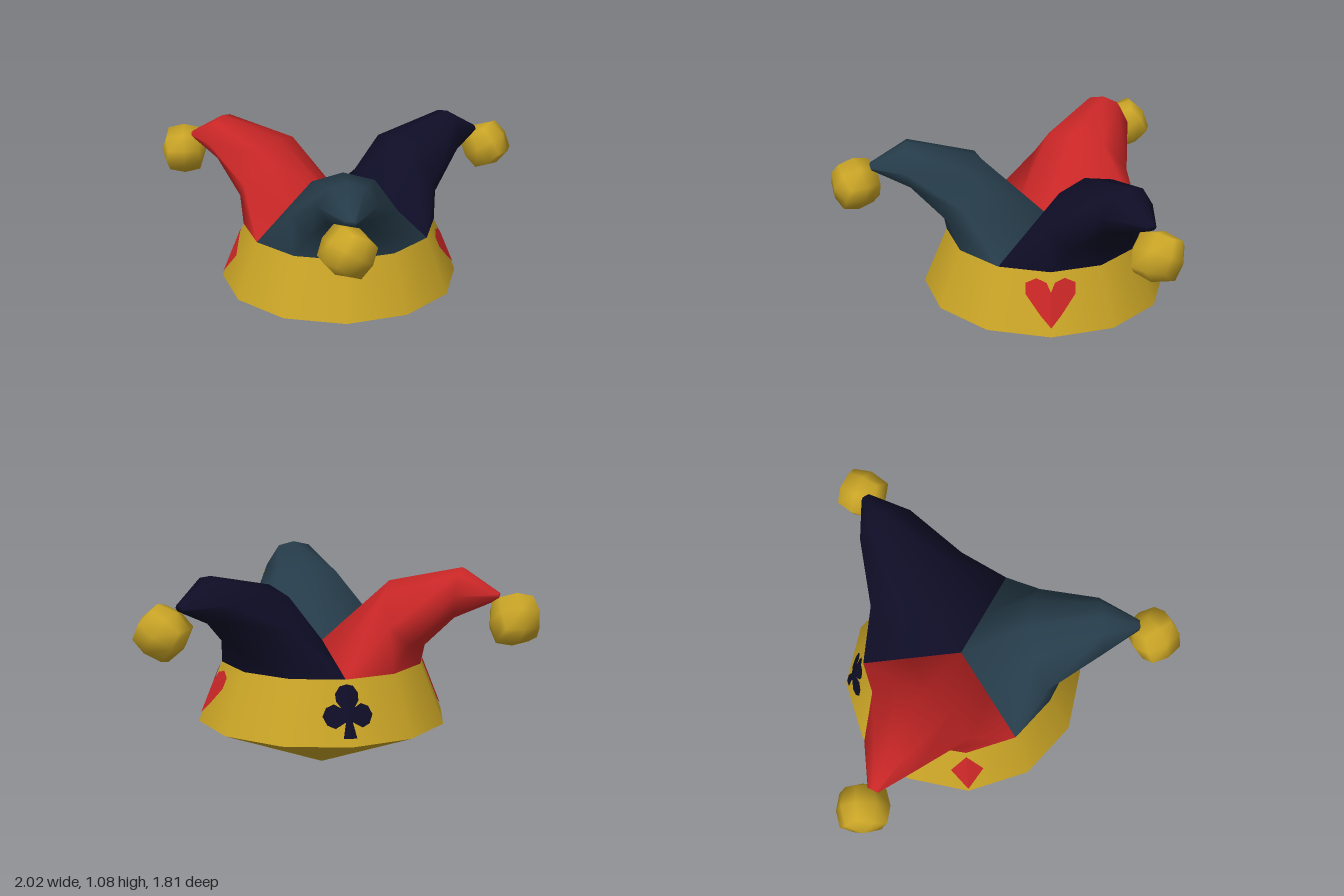
import * as THREE from 'three';
import { mergeVertices } from 'three/addons/utils/BufferGeometryUtils.js';

const mat = (name, color) => Object.assign(new THREE.MeshStandardMaterial({ color }), { name });

const SIDES = 12, Y0 = 0.26, Y1 = 0.57, R0 = 0.655, R1 = 0.53;

function mesh(name, geometry, material) {
  const m = new THREE.Mesh(geometry, material);
  m.name = name;
  return m;
}

// Full 8-point ring from a half section: bottom, lower side, side, upper side, top
function ring([b, l, s, u, t]) {
  const flip = ([x, y, z]) => [-x, y, z];
  return [flip(s), flip(l), b, l, s, u, t, flip(u)];
}

// One curled hat point, leaning towards +z, lofted from a 120 degree base sector to its tip
function hornGeometry() {
  const rim = (deg, r, y) => {
    const a = THREE.MathUtils.degToRad(deg);
    return [r * Math.sin(a), y, r * Math.cos(a)];
  };
  const rings = [
    [rim(0, R1, Y1), rim(30, R1, Y1), rim(60, R1, Y1), rim(60, R1 / 2, 0.615), [0, 0.66, 0]],
    [[0, 0.67, 0.55], [0.19, 0.70, 0.52], [0.285, 0.80, 0.435], [0.165, 0.955, 0.375], [0, 0.995, 0.36]],
    [[0, 0.82, 0.70], [0.1, 0.86, 0.715], [0.155, 0.955, 0.73], [0.085, 1.06, 0.735], [0, 1.08, 0.735]],
    [[0, 0.92, 0.91], [0.02, 0.925, 0.92], [0.03, 0.94, 0.925], [0.02, 0.955, 0.93], [0, 0.96, 0.93]],
  ].map(ring);
  const index = [], n = 8;
  for (let i = 0; i < rings.length - 1; i++) {
    for (let j = 0; j < n; j++) {
      const k = (j + 1) % n;
      const a = i * n + j, b = i * n + k, c = b + n, d = a + n;
      index.push(a, b, d, b, c, d);
    }
  }
  const last = (rings.length - 1) * n;
  for (let j = 1; j < n - 1; j++) index.push(last, last + j, last + j + 1);
  const g = new THREE.BufferGeometry();
  g.setAttribute('position', new THREE.Float32BufferAttribute(rings.flat(2), 3));
  g.setIndex(index);
  g.computeVertexNormals();
  return g;
}

// Rounded, slightly cubic bell
function bellGeometry() {
  let g = new THREE.BoxGeometry(2, 2, 2, 2, 2, 2);
  g.deleteAttribute('uv');
  g.deleteAttribute('normal');
  g = mergeVertices(g);
  const p = g.attributes.position, v = new THREE.Vector3();
  for (let i = 0; i < p.count; i++) {
    v.fromBufferAttribute(p, i);
    const r = [0.127, 0.141, 0.15][Math.round(v.lengthSq()) - 1];
    v.setLength(r);
    p.setXYZ(i, v.x, v.y, v.z);
  }
  g.computeVertexNormals();
  return g;
}

// Symmetric emblem folded over a corner of the band; points are (distance from middle, height)
function emblem(name, points, angle, material) {
  const group = new THREE.Group();
  group.name = name;
  const step = Math.PI * 2 / SIDES;
  for (const side of [1, -1]) {
    const g = new THREE.ShapeGeometry(new THREE.Shape(points.map(([u, y]) => new THREE.Vector2(side * u, y))));
    const p = g.attributes.position;
    for (let i = 0; i < p.count; i++) {
      const y = p.getY(i);
      const r = THREE.MathUtils.mapLinear(y, Y0, Y1, R0, R1) + 0.006;
      const t = Math.abs(p.getX(i)) / (2 * r * Math.sin(step / 2));
      p.setXYZ(i, side * r * Math.sin(step) * t, y, r * (1 + (Math.cos(step) - 1) * t));
    }
    g.computeVertexNormals();
    group.add(mesh(name + 'Half', g, material));
  }
  group.rotation.y = angle;
  return group;
}

export function createModel() {
  const gold = mat('gold', 0xc9a426);
  const red = mat('red', 0xc82626);
  const teal = mat('slate teal', 0x263c4a);
  const navy = mat('navy', 0x0e0d26);
  const redPlate = mat('emblem red', 0xc82626);
  const navyPlate = mat('emblem navy', 0x0e0d26);
  redPlate.side = navyPlate.side = THREE.DoubleSide;

  const hat = new THREE.Group();
  hat.name = 'jesterHat';
  hat.position.set(-0.015, 0, -0.245);

  // Flared band and the cone closing it below
  const band = mesh('band', new THREE.CylinderGeometry(R1, R0, Y1 - Y0, SIDES, 1, true), gold);
  band.position.y = (Y0 + Y1) / 2;
  const base = mesh('bandUnderside', new THREE.CylinderGeometry(R0, 0, Y0, SIDES, 1, true), gold);
  base.position.y = Y0 / 2;
  hat.add(band, base);

  // Three points, each with a bell
  const hornGeo = hornGeometry(), bellGeo = bellGeometry();
  const third = Math.PI * 2 / 3;
  [['front', teal, 0], ['left', navy, third], ['right', red, -third]].forEach(([name, material, angle]) => {
    const point = new THREE.Group();
    point.name = name + 'Point';
    const bell = mesh(name + 'Bell', bellGeo, gold);
    bell.position.set(-0.02, 0.833, 1.01);
    bell.rotation.set(0.6, third, 0, 'YXZ');
    point.add(mesh(name + 'Horn', hornGeo, material), bell);
    point.rotation.y = angle;
    hat.add(point);
  });

  // Card suit emblems on the band
  const heart = [[0, 0.305], [0.055, 0.36], [0.132, 0.455], [0.132, 0.51], [0.075, 0.537], [0.022, 0.52], [0, 0.475]];
  const diamond = [[0, 0.285], [0.09, 0.415], [0, 0.545]];
  const club = [[0, 0.30], [0.035, 0.30], [0.018, 0.375], [0.07, 0.345], [0.11, 0.36], [0.13, 0.40], [0.11, 0.44],
    [0.07, 0.457], [0.035, 0.44], [0.058, 0.47], [0.06, 0.505], [0.035, 0.54], [0, 0.55]];
  hat.add(
    emblem('heart', heart, Math.PI / 2, redPlate),
    emblem('diamond', diamond, -Math.PI / 2, redPlate),
    emblem('club', club, Math.PI, navyPlate),
  );

  const model = new THREE.Group();
  model.name = 'hat';
  model.add(hat);
  return model;
}
